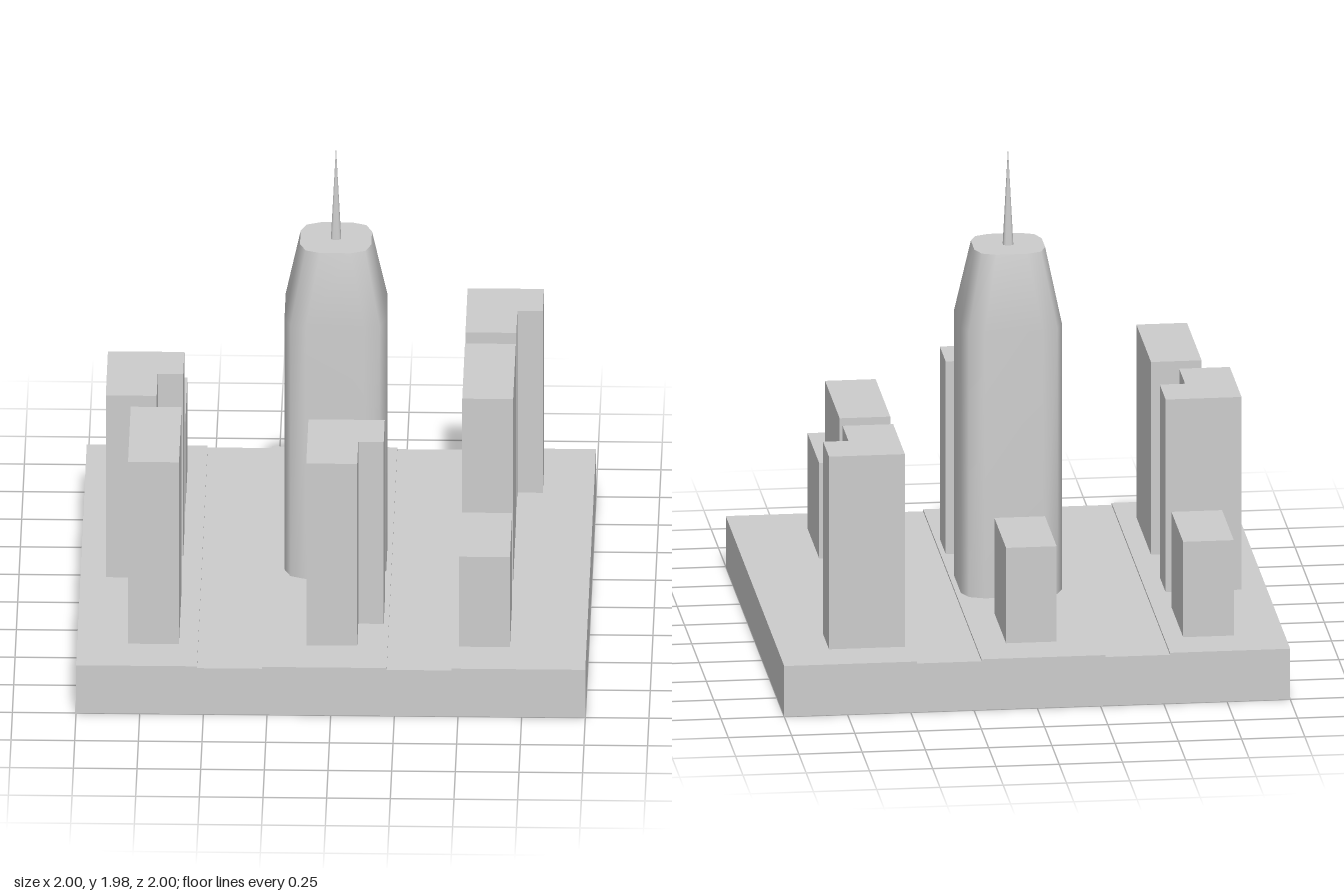
import * as THREE from 'three';

const material = new THREE.MeshStandardMaterial({ color: 0xcccccc });
const ROAD = 0.2;

function add(parent, name, geometry) {
  const mesh = new THREE.Mesh(geometry, material);
  mesh.name = name;
  parent.add(mesh);
  return mesh;
}

// Block with a rectangular plan, optionally with its front +x corner cut away (L plan)
function blockGeometry(x0, x1, z0, z1, top, notch) {
  const plan = notch
    ? [[x0, z0], [x1, z0], [x1, z1 - notch[1]], [x1 - notch[0], z1 - notch[1]], [x1 - notch[0], z1], [x0, z1]]
    : [[x0, z0], [x1, z0], [x1, z1], [x0, z1]];
  const shape = new THREE.Shape(plan.map(([x, z]) => new THREE.Vector2(x, -z)));
  return new THREE.ExtrudeGeometry(shape, { depth: top - ROAD, bevelEnabled: false })
    .rotateX(-Math.PI / 2).translate(0, ROAD, 0);
}

// Twelve-sided rounded square: flat faces at +-half, one corner point at +-mid
function ring({ y, half, flat, mid }) {
  let quarter = [[half, flat], [mid, mid], [flat, half]];
  const points = [];
  for (let q = 0; q < 4; q++) {
    points.push(...quarter.map(([x, z]) => [x, y, z]));
    quarter = quarter.map(([x, z]) => [-z, x]);
  }
  return points;
}

// Smooth skin through the rings, closed by a flat roof
function loft(sections) {
  const n = 12;
  const rings = sections.map(ring);
  const last = rings[rings.length - 1];
  const vertices = [...rings.flat(), ...last, [0, last[0][1], 0]];
  const roof = rings.length * n;
  const index = [];
  for (let i = 0; i < n; i++) {
    const j = (i + 1) % n;
    for (let k = 0; k < rings.length - 1; k++) {
      const lo = k * n, up = lo + n;
      index.push(lo + i, up + i, lo + j, lo + j, up + i, up + j);
    }
    index.push(roof + n, roof + j, roof + i);
  }
  const geometry = new THREE.BufferGeometry();
  geometry.setAttribute('position', new THREE.Float32BufferAttribute(vertices.flat(), 3));
  geometry.setIndex(index);
  geometry.computeVertexNormals();
  return geometry;
}

export function createModel() {
  const group = new THREE.Group();
  group.name = 'cityBlock';

  // Ground: a thick base with raised pavements that leave two roads between them
  add(group, 'base', new THREE.BoxGeometry(2, ROAD, 2).translate(0, ROAD / 2, 0));
  for (const [x0, x1] of [[-1, -0.525], [-0.27, 0.22], [0.475, 1]]) {
    add(group, 'pavement', blockGeometry(x0, x1, -1, 1, ROAD + 0.008));
  }

  // Surrounding buildings: x0, x1, z0, z1, top, notch
  const buildings = [
    ['lowBuilding', -0.8, -0.6, -0.8, -0.4, 0.6],
    ['lowBuilding', -0.1, 0.1, -0.8, -0.4, 0.6],
    ['lowBuilding', 0.5, 0.7, 0.4, 0.8, 0.6],
    ['tallBuilding', 0.5, 0.7, -0.3, 0.2, 1],
    ['tallBuilding', -0.8, -0.6, 0.3, 0.8, 1],
    ['cornerBuilding', 0.5, 0.8, -0.8, -0.4, 1, [0.1, 0.2]],
    ['cornerBuilding', -0.9, -0.6, -0.2, 0.2, 1, [0.1, 0.2]],
    ['cornerBuilding', -0.1, 0.2, 0.4, 0.8, 1, [0.1, 0.2]],
  ];
  for (const [name, ...size] of buildings) add(group, name, blockGeometry(...size));

  // Central tower with tapering crown
  add(group, 'tower', loft([
    { y: ROAD, half: 0.2, flat: 0.115, mid: 0.175 },
    { y: 1.3, half: 0.2, flat: 0.115, mid: 0.175 },
    { y: 1.6, half: 0.14, flat: 0.06, mid: 0.117 },
  ]));

  // Needle spire
  add(group, 'spire', loft([
    { y: 1.6, half: 0.02, flat: 0.01, mid: 0.016 },
    { y: 1.98, half: 0.001, flat: 0.0005, mid: 0.0008 },
  ]));

  return group;
}
